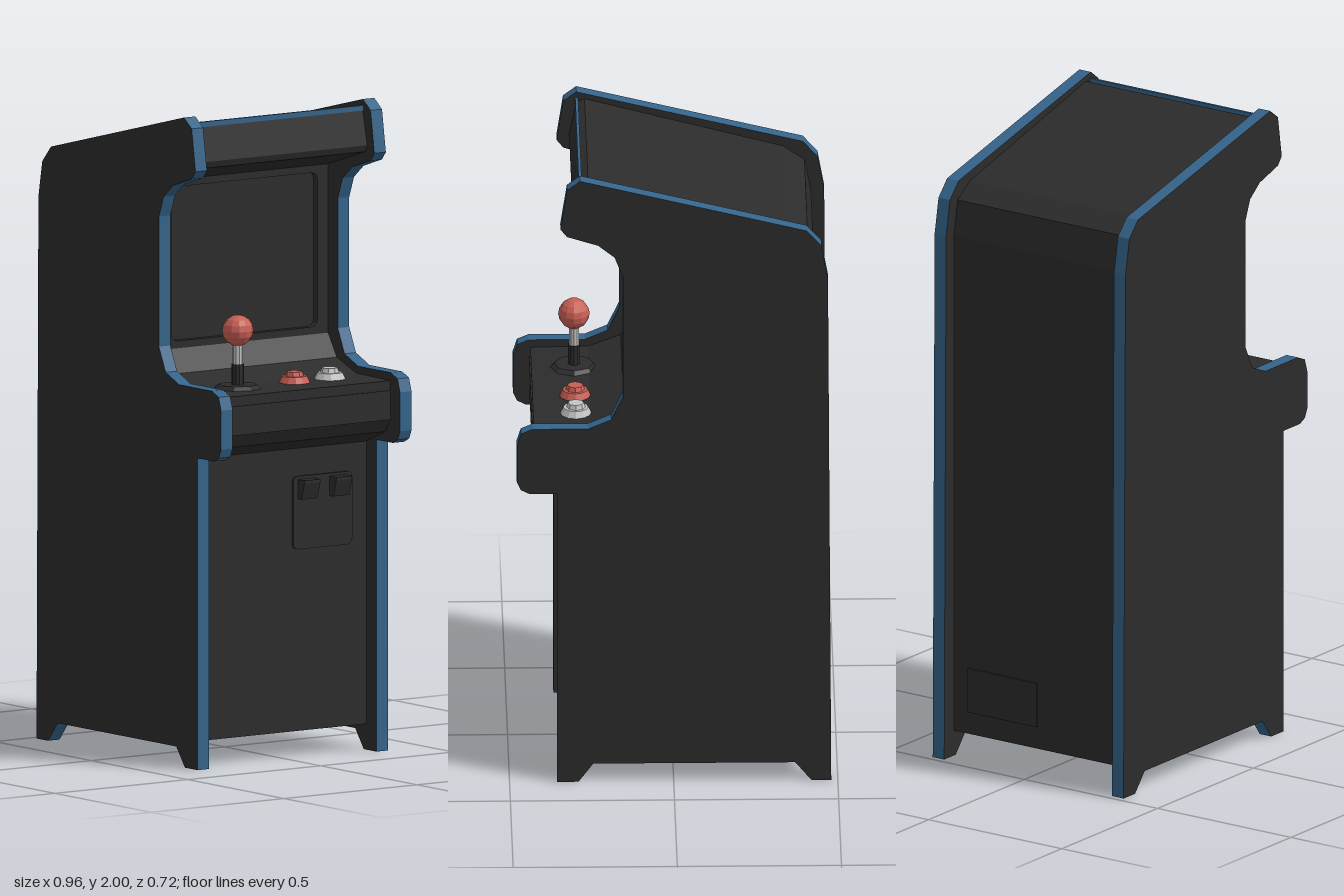
import * as THREE from 'three';

const mat = (name, color) => {
  const m = new THREE.MeshStandardMaterial({ color });
  m.name = name;
  m.flatShading = true;
  return m;
};

export function createModel() {
  const root = new THREE.Group();
  root.name = 'arcadeCabinet';
  const black = mat('black', 0x2c2c2c);
  const blue = mat('trimBlue', 0x35648a);
  const red = mat('red', 0xc85f54);
  const silver = mat('silver', 0xc4c4c4);

  const add = (name, geo, material, x = 0, y = 0, z = 0, parent = root) => {
    const m = new THREE.Mesh(geo, material);
    m.name = name;
    m.position.set(x, y, z);
    parent.add(m);
    return m;
  };
  const outline = (pts) => new THREE.Shape(pts.map(([x, y]) => new THREE.Vector2(x, y)));
  const extrude = (shape, depth) =>
    new THREE.ExtrudeGeometry(shape, { depth, bevelEnabled: false, curveSegments: 3 });
  // Rounded rectangle in the plane of the front, centred on the origin
  const rounded = (w, h, r, Kind = THREE.Shape) => {
    const s = new Kind(), a = w / 2, b = h / 2;
    s.moveTo(-a + r, -b);
    s.lineTo(a - r, -b);
    s.quadraticCurveTo(a, -b, a, -b + r);
    s.lineTo(a, b - r);
    s.quadraticCurveTo(a, b, a - r, b);
    s.lineTo(-a + r, b);
    s.quadraticCurveTo(-a, b, -a, b - r);
    s.lineTo(-a, -b + r);
    s.quadraticCurveTo(-a, -b, -a + r, -b);
    return s;
  };

  // Side panels: black faces with a blue edge all round
  const side = extrude(outline([
    [-0.48, 0], [-0.42, 0], [-0.37, 0.06], [0.245, 0.06], [0.29, 0], [0.355, 0],
    [0.355, 0.96], [0.44, 0.96], [0.466, 0.973], [0.478, 1.0], [0.478, 1.12],
    [0.465, 1.16], [0.43, 1.175], [0.26, 1.175], [0.19, 1.205], [0.155, 1.28],
    [0.155, 1.68], [0.18, 1.745], [0.23, 1.785], [0.325, 1.815], [0.345, 1.84],
    [0.325, 1.97], [0.285, 2.0], [-0.405, 1.83], [-0.45, 1.78], [-0.47, 1.67],
  ]), 0.043);
  add('leftSidePanel', side, [black, blue], 0, 0, 0.315);
  add('rightSidePanel', side, [black, blue], 0, 0, -0.358);

  // Body between the panels, with the screen well stepped back
  const body = extrude(outline([
    [-0.43, 0.08], [0.305, 0.08], [0.305, 0.95], [0.4, 0.99], [0.425, 1.03],
    [0.425, 1.15], [0.25, 1.153], [0.15, 1.19], [0.105, 1.26], [0.085, 1.26],
    [0.085, 1.78], [0.105, 1.78], [0.2, 1.81], [0.3, 1.84], [0.307, 1.86],
    [0.285, 1.967], [0.26, 1.977], [-0.345, 1.815], [-0.41, 1.77], [-0.43, 1.66],
  ]), 0.63);
  add('body', body, black, 0, 0, -0.315);

  // Blue strip along the top of the marquee
  add('marqueeTrim', new THREE.BoxGeometry(0.009, 0.016, 0.63), blue, 0.284, 1.973, 0);

  // Screen surround with a rounded opening
  const bezel = rounded(0.63, 0.52, 0.001);
  const hole = rounded(0.55, 0.475, 0.025, THREE.Path);
  bezel.holes.push(hole);
  const bezelGeo = extrude(bezel, 0.02);
  bezelGeo.rotateY(Math.PI / 2);
  add('screenBezel', bezelGeo, black, 0.085, 1.52, 0);

  // Control panel front lip
  add('controlLip', new THREE.BoxGeometry(0.008, 0.09, 0.63), black, 0.425, 1.075, 0);

  // Joystick
  const stick = new THREE.Group();
  stick.name = 'joystick';
  stick.position.set(0.295, 1.152, 0.163);
  root.add(stick);
  add('stickPlate', new THREE.CylinderGeometry(0.06, 0.073, 0.012, 8), black, 0, 0.006, 0, stick);
  add('stickSleeve', new THREE.CylinderGeometry(0.019, 0.019, 0.07, 10), black, 0, 0.04, 0, stick);
  add('stickShaft', new THREE.CylinderGeometry(0.016, 0.016, 0.07, 10), silver, 0, 0.105, 0, stick);
  add('stickBall', new THREE.SphereGeometry(0.048, 12, 8), red, 0, 0.178, 0, stick);

  // Push buttons: wide collar with a raised cap
  [['redButton', red, -0.05], ['silverButton', silver, -0.183]].forEach(([name, m, z]) => {
    const g = new THREE.Group();
    g.name = name;
    g.position.set(0.295, 1.152, z);
    root.add(g);
    add('collar', new THREE.CylinderGeometry(0.038, 0.048, 0.02, 12), m, 0, 0.01, 0, g);
    add('cap', new THREE.CylinderGeometry(0.024, 0.03, 0.016, 8), m, 0, 0.026, 0, g);
  });

  // Coin door with two wedge-shaped slots
  const door = extrude(rounded(0.222, 0.225, 0.02), 0.008);
  door.rotateY(Math.PI / 2);
  add('coinDoor', door, black, 0.305, 0.752, -0.144);
  const slot = extrude(outline([[0, -0.03], [0.02, -0.03], [0.035, 0.02], [0.035, 0.03], [0, 0.03]]), 0.06);
  for (const z of [-0.11, -0.23]) add('coinSlot', slot, black, 0.312, 0.825, z);

  // Service hatch low on the back
  add('backHatch', new THREE.BoxGeometry(0.008, 0.14, 0.26), black, -0.432, 0.22, -0.13);

  return root;
}
